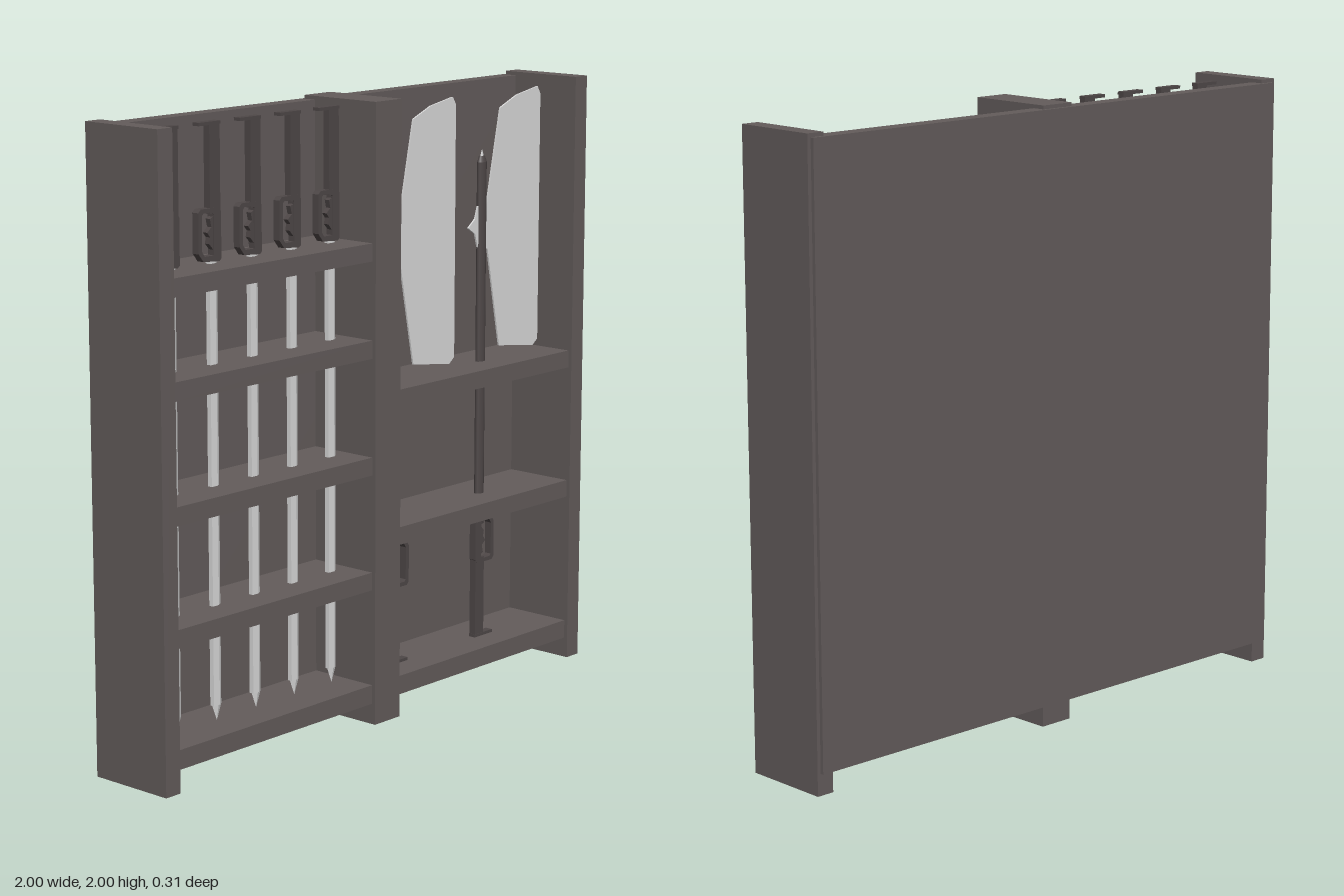
import * as THREE from 'three';

const wood = new THREE.MeshStandardMaterial({ color: 0x635c5b });
wood.name = 'dark wood';
const steel = new THREE.MeshStandardMaterial({ color: 0xdadada });
steel.name = 'steel';
const grip = new THREE.MeshStandardMaterial({ color: 0x4e4747 });
grip.name = 'dark grip';

const WEAPON_Z = 0.033;

function add(parent, name, geometry, material, x = 0, y = 0, z = 0) {
  const mesh = new THREE.Mesh(geometry, material);
  mesh.name = name;
  mesh.position.set(x, y, z);
  parent.add(mesh);
  return mesh;
}

// Box given by its limits on each axis
function slab(parent, name, material, x0, x1, y0, y1, z0, z1) {
  return add(parent, name, new THREE.BoxGeometry(x1 - x0, y1 - y0, z1 - z0), material,
    (x0 + x1) / 2, (y0 + y1) / 2, (z0 + z1) / 2);
}

const outline = (points) => new THREE.Shape(points.map(([x, y]) => new THREE.Vector2(x, y)));

// Flat plate centred on z = 0
function plate(shape, depth) {
  return new THREE.ExtrudeGeometry(shape, { depth, bevelEnabled: false }).translate(0, 0, -depth / 2);
}

// Hooked handle with a hand guard; base at y = 0, hook on -x
function makeHilt() {
  const hilt = new THREE.Group();
  hilt.name = 'hilt';
  slab(hilt, 'handle', grip, -0.02, 0.024, 0.15, 0.425, -0.012, 0.012);
  slab(hilt, 'pommelHook', grip, -0.065, 0.026, 0.415, 0.425, -0.013, 0.013);
  const guard = outline([[-0.05, 0.01], [0.018, 0.005], [0.026, 0.012], [0.026, 0.155],
    [0.014, 0.168], [-0.06, 0.168], [-0.07, 0.158], [-0.07, 0.035]]);
  guard.holes.push(outline([[-0.045, 0.025], [-0.055, 0.04], [-0.055, 0.148],
    [-0.048, 0.155], [-0.012, 0.155], [-0.005, 0.148], [-0.005, 0.025]]));
  add(hilt, 'handGuard', plate(guard, 0.025), grip);
  add(hilt, 'fingerRest', plate(outline([[0.015, 0.02], [0.015, 0.15], [-0.018, 0.135],
    [-0.012, 0.11], [-0.03, 0.095], [-0.018, 0.08], [-0.022, 0.06]]), 0.018), grip);
  return hilt;
}

// Point-down sword with one bevelled edge
function makeSword(x) {
  const sword = new THREE.Group();
  sword.name = 'sword';
  const section = outline([[-0.02, -0.008], [0.006, -0.008], [0.02, 0], [0.006, 0.008], [-0.02, 0.008]]);
  const blade = new THREE.ExtrudeGeometry(section, { depth: 1.4, bevelEnabled: false });
  add(sword, 'blade', blade.rotateX(-Math.PI / 2), steel, 0, 0.185);
  const tip = new THREE.ConeGeometry(0.02, 0.05, 4).toNonIndexed();
  tip.scale(1, 1, 0.4).rotateZ(Math.PI).computeVertexNormals();
  add(sword, 'bladeTip', tip, steel, 0, 0.16);
  const hilt = makeHilt();
  hilt.position.y = 1.56;
  sword.add(hilt);
  sword.position.set(x, 0, WEAPON_Z);
  return sword;
}

// Large axe with a back spike, standing on its hooked handle
function makeAxe(x) {
  const axe = new THREE.Group();
  axe.name = 'axe';
  const pole = new THREE.CylinderGeometry(0.02, 0.02, 1.22, 12).scale(1, 1, 0.65);
  add(axe, 'pole', pole, grip, 0, 1.13);
  const cap = new THREE.CylinderGeometry(0.012, 0.02, 0.02, 12).scale(1, 1, 0.65);
  add(axe, 'poleCap', cap, grip, 0, 1.75);
  add(axe, 'topSpike', new THREE.ConeGeometry(0.012, 0.035, 8).scale(1, 1, 0.5), steel, 0, 1.765);
  add(axe, 'axeBlade', plate(outline([[0, 1.45], [0.03, 1.45], [0.095, 1.115], [0.275, 1.09],
    [0.3, 1.11], [0.3, 1.94], [0.285, 1.965], [0.175, 1.945], [0.09, 1.91], [0.025, 1.6], [0, 1.6]]), 0.006), steel);
  add(axe, 'backSpike', plate(outline([[0, 1.6], [-0.022, 1.595], [-0.035, 1.555], [-0.07, 1.528],
    [-0.035, 1.505], [-0.022, 1.46], [0, 1.455]]), 0.006), steel);
  const hilt = makeHilt();
  hilt.rotation.z = Math.PI;
  hilt.position.set(-0.005, 0.555, 0);
  axe.add(hilt);
  axe.position.set(x, 0, WEAPON_Z);
  return axe;
}

export function createModel() {
  const rack = new THREE.Group();
  rack.name = 'weaponRack';

  // Frame
  slab(rack, 'backPanel', wood, -0.988, 0.988, 0.07, 1.988, -0.155, -0.1);
  for (const [name, x0, x1] of [['rightPost', -1, -0.94], ['middlePost', -0.06, 0.06], ['leftPost', 0.94, 1]]) {
    slab(rack, name, wood, x0, x1, 0, 2, -0.143, 0.155);
  }

  // Shelves of the sword bay and the axe bay
  for (const [y0, y1] of [[0.068, 0.13], [0.445, 0.503], [0.82, 0.878], [1.195, 1.253], [1.503, 1.56]]) {
    slab(rack, 'swordShelf', wood, -0.94, -0.06, y0, y1, -0.1, 0.142);
  }
  for (const [y0, y1] of [[0.068, 0.13], [0.568, 0.626], [1.018, 1.076]]) {
    slab(rack, 'axeShelf', wood, 0.06, 0.94, y0, y1, -0.1, 0.142);
  }

  // Weapons
  for (let i = 0; i < 5; i++) rack.add(makeSword(-0.833 + i * 0.175));
  for (const x of [0.165, 0.603]) rack.add(makeAxe(x));
  return rack;
}
